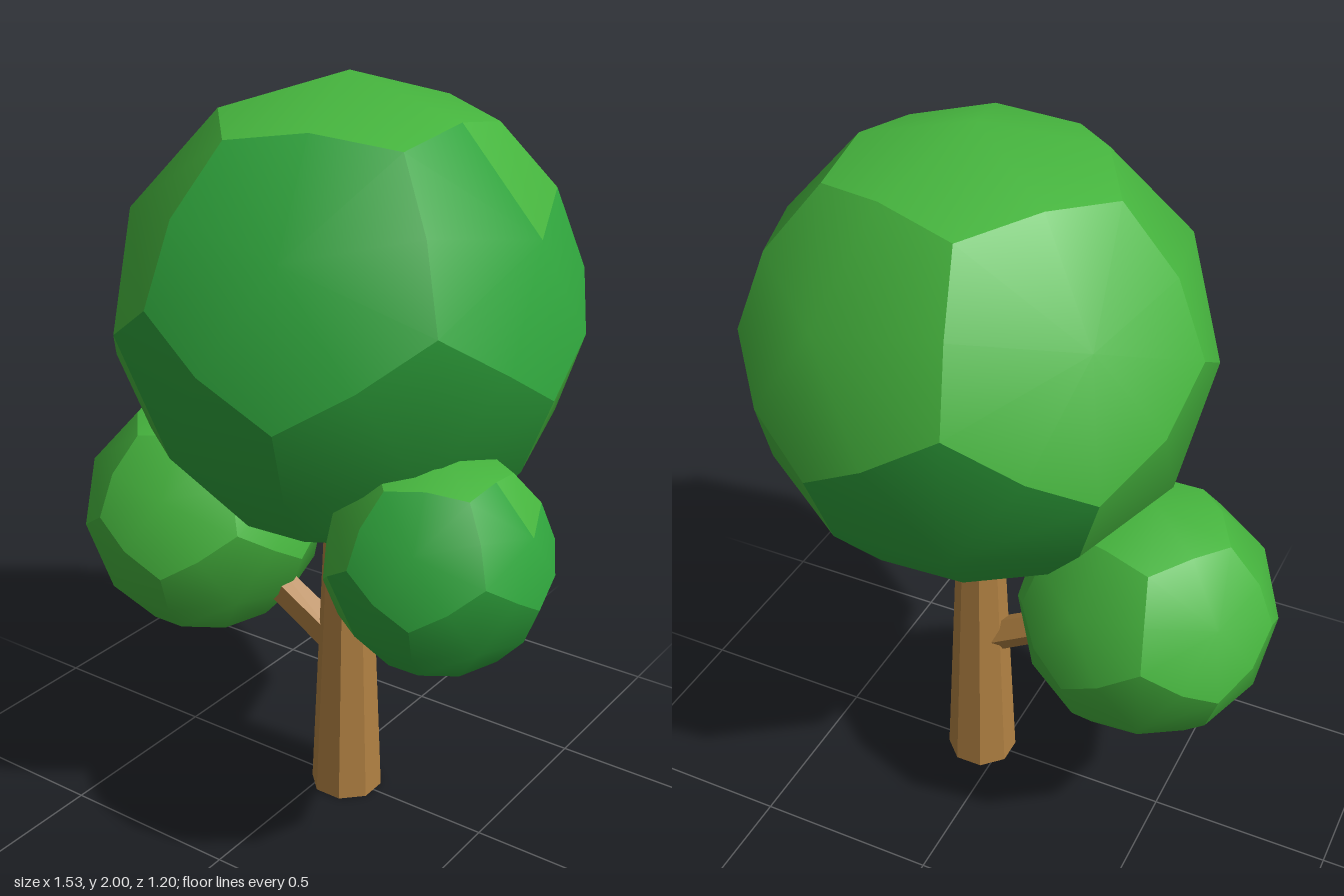
import * as THREE from 'three';

const leafWarm = new THREE.MeshStandardMaterial({ color: 0x46b53e });
leafWarm.name = 'warmLeafGreen';
const leafCool = new THREE.MeshStandardMaterial({ color: 0x2fa43c });
leafCool.name = 'coolLeafGreen';
const bark = new THREE.MeshStandardMaterial({ color: 0xb08042 });
bark.name = 'barkBrown';

const rad = THREE.MathUtils.degToRad;

// unit direction from azimuth (from +x toward +z) and elevation, in degrees
function dir(azimuth, elevation) {
  const a = rad(azimuth), e = rad(elevation);
  return new THREE.Vector3(Math.cos(e) * Math.cos(a), Math.sin(e), Math.cos(e) * Math.sin(a));
}

// the twelve pentagon centres: top, upper ring, lower ring, bottom
const faces = [{ name: 'top', c: dir(0, 90) }];
for (let i = 0; i < 5; i++) {
  faces.push({ name: 'upper' + i * 72, c: dir(i * 72, 26.565) });
  faces.push({ name: 'lower' + (36 + i * 72), c: dir(36 + i * 72, -26.565) });
}
faces.push({ name: 'bottom', c: dir(0, -90) });

const coolFaces = ['upper0', 'upper72', 'lower36', 'lower108', 'lower252', 'bottom'];
// single kites of cool faces that are warm, given by their outer corner
const warmKites = { upper0: dir(-36, 52.62), lower108: dir(144, -10.81) };

// rounded dodecahedron: every pentagon is five kites pushed out to the sphere,
// smooth inside a pentagon and creased along its border
function crownGeometry(mixed) {
  const pos = [], nor = [], groups = [[], []];
  for (const { name, c } of faces) {
    // neighbouring centres sorted counter-clockwise seen from outside
    const ref = Math.abs(c.y) > 0.9 ? new THREE.Vector3(1, 0, 0) : new THREE.Vector3(0, 1, 0);
    const u = ref.cross(c).normalize(), v = c.clone().cross(u);
    const angle = (p) => Math.atan2(p.dot(v), p.dot(u));
    const near = faces.map((f) => f.c).filter((p) => p !== c && p.dot(c) > 0.3)
      .sort((p, q) => angle(p) - angle(q));
    // border points alternate edge middle, corner
    const border = [];
    near.forEach((p, i) => {
      border.push(c.clone().add(p).normalize());
      border.push(c.clone().add(p).add(near[(i + 1) % 5]).normalize());
    });
    // pentagon normals
    const pts = [c, ...border];
    const fan = border.map((_, i) => [0, i + 1, ((i + 1) % 10) + 1]);
    const geo = new THREE.BufferGeometry().setFromPoints(pts);
    geo.setIndex(fan.flat());
    geo.computeVertexNormals();
    const n = geo.attributes.normal;
    fan.forEach((tri, i) => {
      const corner = border[i % 2 ? i : i + 1];
      const warmKite = warmKites[name] && corner.distanceTo(warmKites[name]) < 0.1;
      const cool = mixed && coolFaces.includes(name) && !warmKite;
      groups[cool ? 1 : 0].push(tri.map((k) => [pts[k].toArray(), [n.getX(k), n.getY(k), n.getZ(k)]]));
    });
  }
  const out = new THREE.BufferGeometry();
  let start = 0;
  groups.forEach((tris, m) => {
    tris.flat().forEach(([p, q]) => { pos.push(...p); nor.push(...q); });
    out.addGroup(start, tris.length * 3, m);
    start += tris.length * 3;
  });
  out.setAttribute('position', new THREE.Float32BufferAttribute(pos, 3));
  out.setAttribute('normal', new THREE.Float32BufferAttribute(nor, 3));
  return out;
}

// tapered flat-sided limb between two points
function limb(name, from, to, r0, r1, sides) {
  const a = new THREE.Vector3(...from), b = new THREE.Vector3(...to);
  const d = b.clone().sub(a);
  const geo = new THREE.CylinderGeometry(r1, r0, d.length(), sides, 1, false, Math.PI / sides).toNonIndexed();
  geo.computeVertexNormals();
  const mesh = new THREE.Mesh(geo, bark);
  mesh.name = name;
  mesh.position.copy(a).add(b).multiplyScalar(0.5);
  mesh.quaternion.setFromUnitVectors(new THREE.Vector3(0, 1, 0), d.normalize());
  return mesh;
}

export function createModel() {
  const tree = new THREE.Group();
  tree.name = 'tree';

  // trunk and branches
  tree.add(limb('trunk', [0.062, 0, 0], [0.062, 1, 0], 0.1, 0.056, 8));
  tree.add(limb('rightBranch', [0.06, 0.43, 0], [-0.28, 0.63, 0], 0.05, 0.045, 5));
  tree.add(limb('leftBranch', [0.07, 0.615, 0], [0.43, 0.89, 0.22], 0.042, 0.036, 5));

  // leaf crowns
  const mixed = crownGeometry(true), plain = crownGeometry(false);
  const crowns = [
    ['mainCrown', mixed, 0.06, 1.4, 0, 0.6],
    ['rightCrown', plain, -0.43, 0.722, 0, 0.345],
    ['leftCrown', mixed, 0.49, 0.925, 0.24, 0.28],
  ];
  for (const [name, geo, x, y, z, r] of crowns) {
    const crown = new THREE.Mesh(geo, [leafWarm, leafCool]);
    crown.name = name;
    crown.position.set(x, y, z);
    crown.scale.setScalar(r);
    tree.add(crown);
  }
  return tree;
}
